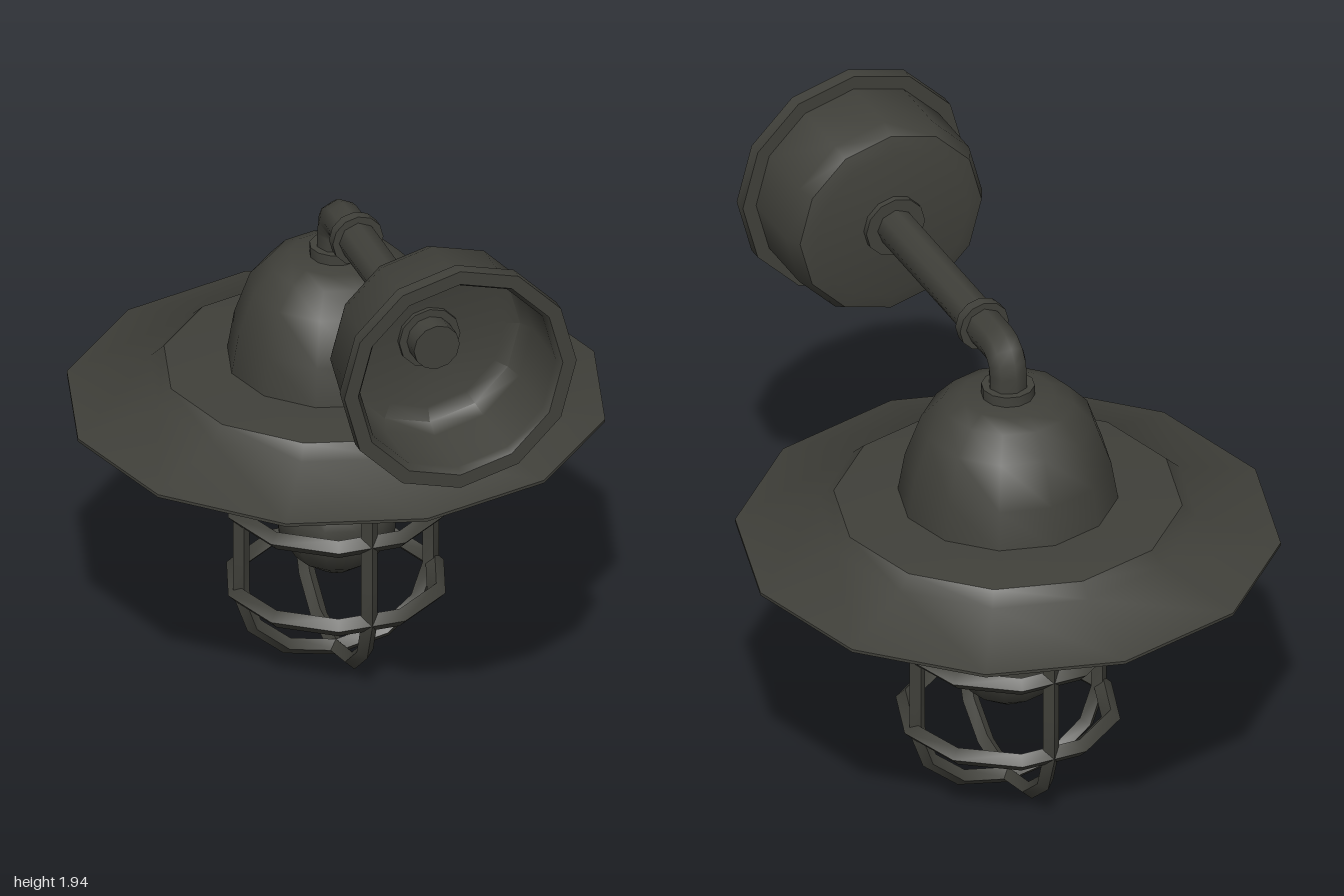
import * as THREE from 'three';
import { toCreasedNormals } from 'three/addons/utils/BufferGeometryUtils.js';

const metal = new THREE.MeshStandardMaterial({ color: 0x40403a });
metal.name = 'dark grey metal';

const LAMP_Z = -0.155; // axis of the hanging lamp
const ARM_Y = 1.56;    // axis of the wall arm

function add(parent, name, geometry, crease = 0.75) {
  const mesh = new THREE.Mesh(toCreasedNormals(geometry, crease), metal);
  mesh.name = name;
  parent.add(mesh);
  return mesh;
}

// Turned part from [radius, height] pairs
function lathe(profile, sides = 12) {
  return new THREE.LatheGeometry(profile.map(([r, h]) => new THREE.Vector2(r, h)), sides);
}

// Closed disc or collar between two heights
function collar(r, h0, h1, sides = 12) {
  return lathe([[0, h0], [r, h0], [r, h1], [0, h1]], sides);
}

// Path with a tube ring exactly at each point
class PointPath extends THREE.Curve {
  constructor(points) {
    super();
    this.points = points;
  }
  getUtoTmapping(u) {
    return u;
  }
  getPoint(t, target = new THREE.Vector3()) {
    const n = this.points.length - 1;
    const i = Math.min(Math.floor(t * n), n - 1);
    return target.lerpVectors(this.points[i], this.points[i + 1], t * n - i);
  }
}

function tube(points, radius, sides) {
  const path = new PointPath(points.map((p) => new THREE.Vector3(...p)));
  return new THREE.TubeGeometry(path, points.length - 1, radius, sides);
}

export function createModel() {
  const model = new THREE.Group();
  model.name = 'caged wall lamp';

  // Wall mount: a hollow cup open at the wall, turned about z
  const mount = new THREE.Group();
  mount.name = 'wallMount';
  mount.position.y = ARM_Y;
  mount.rotation.x = Math.PI / 2;
  model.add(mount);
  add(mount, 'mountCup', lathe([
    [0, 0.675], [0.26, 0.675], [0.31, 0.69], [0.335, 0.74], [0.335, 0.955],
    [0.38, 0.955], [0.38, 1], [0.335, 1], [0.32, 0.975], [0.32, 0.76],
    [0.295, 0.715], [0.25, 0.7], [0, 0.7],
  ]));
  add(mount, 'armFlange', collar(0.1, 0.655, 0.715));
  add(mount, 'armEnd', collar(0.075, 0.69, 0.78));
  add(mount, 'armRing', collar(0.083, 0.015, 0.05));

  // Arm: straight out from the wall, then bent down to the dome
  const arm = [[0, ARM_Y, 0.7], [0, ARM_Y, 0.03], [0, ARM_Y, -0.04]];
  for (let i = 0; i <= 4; i++) {
    const a = (i / 4) * Math.PI / 2;
    arm.push([0, ARM_Y - 0.07 * (1 - Math.cos(a)), LAMP_Z + 0.07 - 0.07 * Math.sin(a)]);
  }
  arm.push([0, 1.41, LAMP_Z]);
  add(model, 'arm', tube(arm, 0.062, 8), 0.9);

  // Hanging lamp
  const lamp = new THREE.Group();
  lamp.name = 'lamp';
  lamp.position.z = LAMP_Z;
  model.add(lamp);
  add(lamp, 'domeCollar', collar(0.083, 1.4, 1.445));
  add(lamp, 'dome', lathe([
    [0.343, 1.04], [0.32, 1.175], [0.27, 1.315], [0.205, 1.385], [0.145, 1.41], [0, 1.412],
  ]));
  add(lamp, 'shade', lathe([
    [0, 1.0], [0.34, 1.0], [0.585, 0.965], [0.83, 0.902], [0.845, 0.902],
    [0.845, 0.912], [0.585, 0.99], [0.54, 1.032], [0.35, 1.05], [0, 1.05],
  ]), 0.55);

  // Socket and bulb
  add(lamp, 'socket', collar(0.108, 0.848, 1.01));
  add(lamp, 'bulb', lathe([
    [0, 0.305], [0.05, 0.312], [0.13, 0.365], [0.185, 0.45], [0.192, 0.53],
    [0.16, 0.6], [0.105, 0.68], [0.08, 0.755], [0.08, 0.86],
  ]));

  // Cage: three hoops around two crossing U-shaped bars
  const cage = new THREE.Group();
  cage.name = 'cage';
  lamp.add(cage);
  for (const y of [0.82, 0.545, 0.27]) {
    const hoop = add(cage, 'cageHoop', new THREE.TorusGeometry(0.323, 0.03, 4, 10));
    hoop.rotation.x = Math.PI / 2;
    hoop.position.y = y;
  }
  const side = [[0.31, 1.0], [0.31, 0.4], [0.31, 0.27], [0.268, 0.15], [0.16, 0.06]];
  const bar = [
    ...side.map(([x, y]) => [x, y, 0]),
    [0, 0.027, 0],
    ...side.map(([x, y]) => [-x, y, 0]).reverse(),
  ];
  for (const turn of [0, Math.PI / 2]) {
    add(cage, 'cageBar', tube(bar, 0.027, 4)).rotation.y = turn;
  }

  return model;
}
